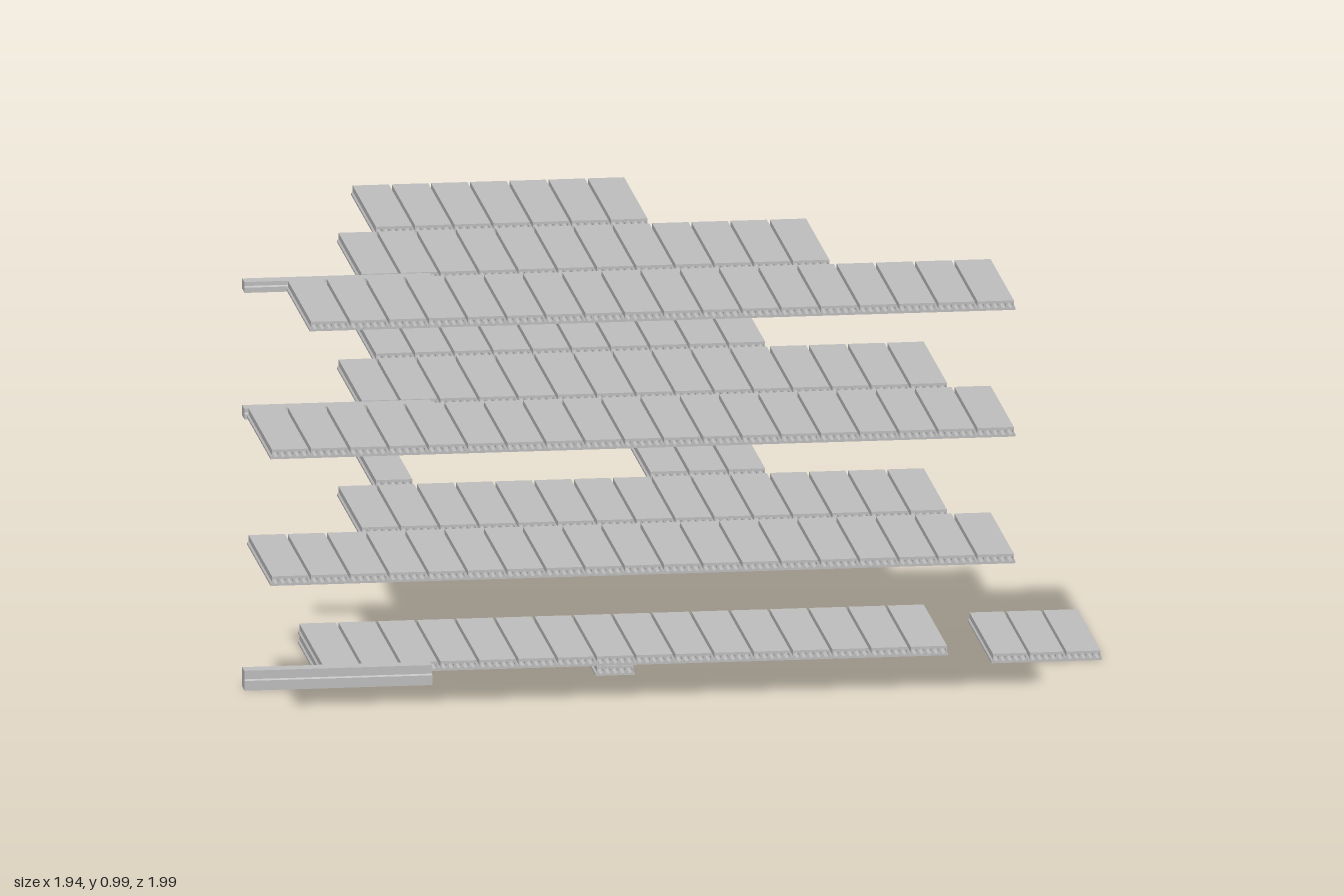
import * as THREE from 'three';

const W = 0.0929;   // plank width (pitch)
const L = 0.421;    // plank length
const T = 0.023;    // plank thickness

// Hollow-core plank: tapered upper sides leave an open seam between neighbours
function plankGeometry() {
  const h = W / 2, n = 0.0035;
  const shape = new THREE.Shape([
    [-h, 0], [h, 0], [h, 0.005], [h - n, 0.009], [h - n, T], [-h + n, T], [-h + n, 0.009], [-h, 0.005],
  ].map(([x, y]) => new THREE.Vector2(x, y)));
  const cores = 5, pitch = 0.0172;
  for (let i = 0; i < cores; i++) {
    const hole = new THREE.Path();
    hole.absarc((i - (cores - 1) / 2) * pitch, T / 2, 0.0066, 0, Math.PI * 2, true);
    shape.holes.push(hole);
  }
  return new THREE.ExtrudeGeometry(shape, { depth: L, bevelEnabled: false, curveSegments: 10 });
}

// Solid edge beam with a narrower upper part, running along the rows
function beamGeometry(length, height) {
  const ledge = height * 0.5;
  const shape = new THREE.Shape([
    [-0.024, 0], [0.024, 0], [0.024, ledge], [0.019, ledge + 0.003], [0.019, height],
    [-0.019, height], [-0.019, ledge + 0.003], [-0.024, ledge],
  ].map(([x, y]) => new THREE.Vector2(x, y)));
  const g = new THREE.ExtrudeGeometry(shape, { depth: length, bevelEnabled: false });
  return g.rotateY(Math.PI / 2);
}

export function createModel() {
  const model = new THREE.Group();
  model.name = 'hollowCoreFloors';
  model.rotation.y = 0.701;   // rows run diagonally

  const concrete = new THREE.MeshStandardMaterial({ color: 0xc0c0c0 });
  concrete.name = 'concrete grey';

  const plank = plankGeometry();

  // Start of each row along the building and across it
  const rows = {
    front: { u: -0.929, v: 0.091 },
    middle: { u: -0.748, v: -0.372 },
    back: { u: -0.56, v: -0.841 },
    landing: { u: 0.841, v: -0.377 },
  };

  // Lay planks from index a up to (not including) b
  function lay(parent, rowName, y, a, b, scale = 1) {
    const row = rows[rowName];
    const group = new THREE.Group();
    group.name = rowName + 'Row';
    for (let i = a; i < b; i++) {
      const m = new THREE.Mesh(plank, concrete);
      m.name = 'plank';
      m.scale.x = scale;
      m.position.set(row.u + (i + 0.5) * W * scale, y, row.v);
      group.add(m);
    }
    parent.add(group);
  }

  function beam(parent, y, height) {
    const m = new THREE.Mesh(beamGeometry(0.445, height), concrete);
    m.name = 'edgeBeam';
    m.position.set(-0.935, y, 0.066);
    parent.add(m);
  }

  function level(name) {
    const g = new THREE.Group();
    g.name = name;
    model.add(g);
    return g;
  }

  // Ground level: full middle row, two bearer planks below, separate landing
  const ground = level('groundLevel');
  lay(ground, 'middle', 0.024, 0, 16);
  lay(ground, 'middle', 0, 0, 1);
  lay(ground, 'middle', 0, 7, 8);
  lay(ground, 'landing', 0, 0, 3, 0.94);
  beam(ground, 0, 0.047);

  // First floor: back row has a large opening
  const first = level('firstFloor');
  lay(first, 'front', 0.353, 0, 19);
  lay(first, 'middle', 0.353, 1, 16);
  lay(first, 'back', 0.353, 0, 1);
  lay(first, 'back', 0.353, 7, 10);

  // Second floor
  const second = level('secondFloor');
  lay(second, 'front', 0.659, 0, 19);
  lay(second, 'middle', 0.659, 1, 16);
  lay(second, 'back', 0.659, 0, 10);
  beam(second, 0.655, 0.025);

  // Top floor: shorter rows
  const top = level('topFloor');
  lay(top, 'front', 0.965, 1, 19);
  lay(top, 'middle', 0.965, 1, 13);
  lay(top, 'back', 0.965, 0, 7);
  beam(top, 0.961, 0.025);

  const root = new THREE.Group();
  root.name = 'plankFloorStructure';
  root.add(model);
  return root;
}
